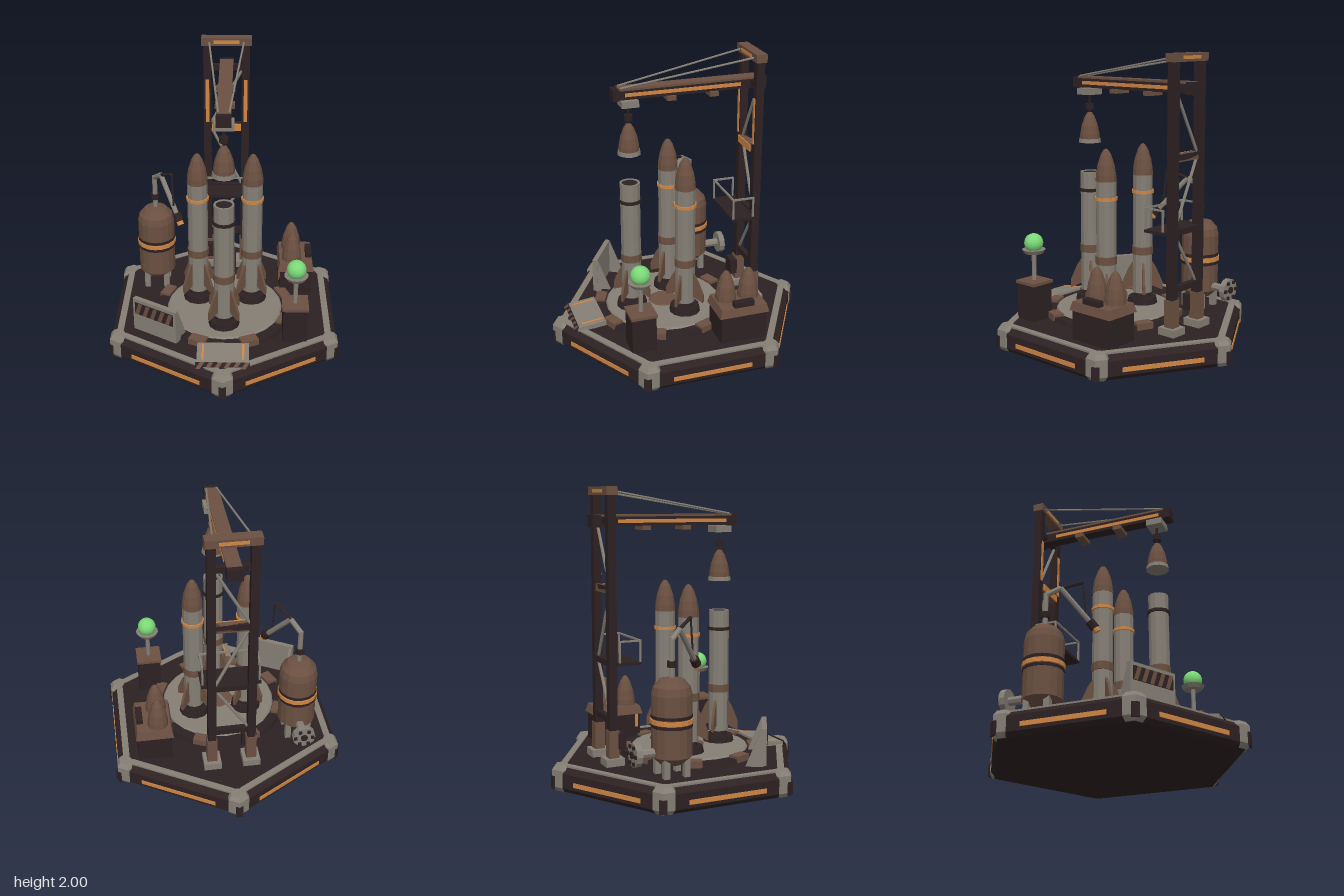
import * as THREE from 'three';

const mat = (name, color, extra = {}) => new THREE.MeshStandardMaterial({ name, color, ...extra });

export function createModel() {
  const root = new THREE.Group();
  root.name = 'rocketLaunchPad';
  const grey = mat('warmGrey', 0x857f75), dark = mat('darkSteel', 0x2d2122);
  const brown = mat('rustBrown', 0x6b5041), orange = mat('orangeTrim', 0xd08644);
  const green = mat('beaconGreen', 0x7cd878);
  for (const m of [grey, dark, brown, orange]) m.flatShading = true;

  const add = (name, geo, m, x = 0, y = 0, z = 0, parent = root) => {
    const mesh = new THREE.Mesh(geo, m);
    mesh.name = name;
    mesh.position.set(x, y, z);
    parent.add(mesh);
    return mesh;
  };
  const group = (name, x = 0, y = 0, z = 0, parent = root) => {
    const g = new THREE.Group();
    g.name = name;
    g.position.set(x, y, z);
    parent.add(g);
    return g;
  };
  const box = (name, w, h, d, m, x, y, z, p) => add(name, new THREE.BoxGeometry(w, h, d), m, x, y, z, p);
  // cylinder given by its bottom and top heights
  const cyl = (name, r0, r1, y0, y1, m, x, z, p, n = 12) =>
    add(name, new THREE.CylinderGeometry(r1, r0, y1 - y0, n), m, x, (y0 + y1) / 2, z, p);
  const strut = (name, a, b, r, m, p = root, n = 6) => {
    const va = new THREE.Vector3(...a), vb = new THREE.Vector3(...b), d = vb.clone().sub(va);
    const s = add(name, new THREE.CylinderGeometry(r, r, d.length(), n), m, 0, 0, 0, p);
    s.position.copy(va).add(vb).multiplyScalar(0.5);
    s.quaternion.setFromUnitVectors(new THREE.Vector3(0, 1, 0), d.normalize());
    return s;
  };
  const lathe = (pts, n = 12) => new THREE.LatheGeometry(pts.map(p => new THREE.Vector2(...p)), n);
  const nose = (name, r, h, x, y, z, p) =>
    add(name, lathe([[0, 0], [r, 0], [r * 0.97, h * 0.2], [r * 0.82, h * 0.5], [r * 0.52, h * 0.8], [r * 0.25, h * 0.95], [0, h]]), brown, x, y, z, p);
  // slanted warning stripes on a dark plate
  const hazard = (w, h, count, p) => {
    box('hazardPlate', w, h, 0.006, dark, 0, 0, 0, p);
    const step = w / count;
    for (let i = 0; i < count; i++) {
      const x = -w / 2 + i * step, l = step * 0.5;
      const s = new THREE.Shape([[x, -h / 2], [x + l, -h / 2], [x + step, h / 2], [x + step - l, h / 2]].map(q => new THREE.Vector2(...q)));
      add('hazardStripe', new THREE.ShapeGeometry(s), brown, 0, 0, 0.004, p);
    }
  };

  // Hexagonal base with light strips, rim and corner armour
  const base = group('base');
  cyl('baseFoot', 0.87, 0.9, 0, 0.03, dark, 0, 0, base, 6);
  cyl('baseBody', 0.9, 0.9, 0.03, 0.13, dark, 0, 0, base, 6);
  cyl('baseTop', 0.9, 0.85, 0.13, 0.17, dark, 0, 0, base, 6);
  const corner = new THREE.Shape([[0, 0.885], [0.05, 0.856], [0.05, 0.8], [-0.05, 0.8], [-0.05, 0.856]].map(p => new THREE.Vector2(...p)).reverse());
  const cornerGeo = new THREE.ExtrudeGeometry(corner, { depth: 0.115, bevelEnabled: true, bevelThickness: 0.03, bevelSize: 0.02, bevelSegments: 1 });
  cornerGeo.rotateX(Math.PI / 2).translate(0, 0.147, 0);
  for (let i = 0; i < 6; i++) {
    const side = group('baseSide', 0, 0, 0, base);
    side.rotation.y = Math.PI / 6 + i * Math.PI / 3;
    box('lightStrip', 0.55, 0.03, 0.008, orange, 0, 0.068, 0.781, side);
    box('rim', 0.76, 0.012, 0.045, grey, 0, 0.17, 0.72, side);
    const c = group('baseCorner', 0, 0, 0, base);
    c.rotation.y = i * Math.PI / 3;
    add('cornerArmour', cornerGeo, grey, 0, 0, 0, c);
    box('cornerSlot', 0.05, 0.09, 0.012, dark, 0, 0.06, 0.903, c);
  }

  // Round launch deck
  const deck = group('launchDeck', 0, 0, 0.1);
  cyl('deckRing', 0.49, 0.48, 0.17, 0.2, dark, 0, 0, deck, 24);
  cyl('deckDisc', 0.41, 0.4, 0.2, 0.212, grey, 0, 0, deck, 24);
  cyl('deckCentre', 0.11, 0.1, 0.212, 0.218, brown, 0, 0, deck, 8);
  for (let i = 0; i < 8; i++) {
    const a = group('deckClampPivot', 0, 0, 0, deck);
    a.rotation.y = Math.PI / 8 + i * Math.PI / 4;
    box('deckClamp', 0.12, 0.045, 0.075, brown, 0, 0.195, 0.45, a);
  }

  // Rockets: two complete, one waiting for its nose
  const fin = new THREE.Shape([[0.05, 0.34], [0.143, 0.3], [0.143, 0.36], [0.1, 0.46], [0.05, 0.54]].map(p => new THREE.Vector2(...p)));
  const finGeo = new THREE.ExtrudeGeometry(fin, { depth: 0.018, bevelEnabled: false }).translate(0, 0, -0.009);
  for (const [x, z, done] of [[-0.19, 0, true], [0.19, 0, true], [0, 0.33, false]]) {
    const r = group('rocket', x, 0, z);
    cyl('rocketStand', 0.11, 0.1, 0.21, 0.255, dark, 0, 0, r);
    cyl('rocketNozzle', 0.065, 0.05, 0.25, 0.3, dark, 0, 0, r);
    cyl('rocketBody', 0.07, 0.07, 0.29, 1.14, grey, 0, 0, r);
    cyl('lowerBand', 0.075, 0.075, 0.57, 0.625, brown, 0, 0, r);
    cyl('upperBand', 0.079, 0.079, 1.01, 1.032, done ? orange : dark, 0, 0, r);
    for (let i = 0; i < 4; i++) add('rocketFin', finGeo, brown, 0, 0, 0, r).rotation.y = Math.PI / 4 + i * Math.PI / 2;
    if (done) nose('rocketNose', 0.072, 0.22, 0, 1.14, 0, r);
    else {
      add('rocketRim', lathe([[0.07, 1.135], [0.07, 1.15], [0.056, 1.15], [0.056, 1.142]]), grey, 0, 0, 0, r);
      cyl('rocketOpening', 0.056, 0.056, 1.13, 1.144, dark, 0, 0, r);
    }
  }

  // Gantry tower
  const tower = group('tower', 0, 0, -0.53);
  for (const s of [-1, 1]) {
    const x = s * 0.135;
    box('towerFoot', 0.12, 0.05, 0.13, grey, x, 0.195, 0, tower);
    box('towerBoot', 0.07, 0.19, 0.07, brown, x, 0.31, 0, tower);
    box('towerPost', 0.055, 1.6, 0.055, dark, x, 1.18, 0, tower);
    box('postLight', 0.026, 0.32, 0.008, orange, x, 1.535, 0.029, tower);
    strut('boomCable', [s * 0.12, 1.97, 0.03], [s * 0.035, 1.82, 0.92], 0.007, grey, tower);
    box('railPost', 0.012, 0.15, 0.012, grey, s * 0.19, 0.93, 0.18, tower);
    box('sideRail', 0.012, 0.012, 0.15, grey, s * 0.19, 1, 0.105, tower);
    box('sideRailPost', 0.012, 0.15, 0.012, grey, s * 0.19, 0.93, 0.035, tower);
  }
  box('towerHead', 0.35, 0.055, 0.075, brown, 0, 1.972, 0, tower);
  for (const s of [-1, 1]) box('headLight', 0.18, 0.022, 0.006, orange, 0, 1.972, s * 0.039, tower);
  for (const y of [0.47, 0.85, 1.34, 1.78]) box('towerCrossbeam', 0.24, 0.04, 0.04, dark, 0, y, 0, tower);
  box('crossbeamPlate', 0.21, 0.05, 0.008, orange, 0, 1.335, 0.036, tower);
  box('crossbeamCover', 0.21, 0.05, 0.05, brown, 0, 1.335, 0.005, tower);
  [[0.47, 0.85, 1], [0.85, 1.34, -1], [1.34, 1.78, 1]].forEach(([a, b, s]) =>
    strut('towerBrace', [-s * 0.11, a + 0.02, 0], [s * 0.11, b - 0.02, 0], 0.011, grey, tower));
  box('servicePlatform', 0.4, 0.02, 0.17, dark, 0, 0.85, 0.1, tower);
  box('frontRail', 0.392, 0.012, 0.012, grey, 0, 1, 0.18, tower);

  // Crane boom with hanging nose cone
  const crane = group('crane');
  box('boom', 0.08, 0.065, 1, dark, 0, 1.775, -0.08, crane);
  box('boomTop', 0.094, 0.014, 0.98, brown, 0, 1.812, -0.09, crane);
  box('boomTip', 0.095, 0.075, 0.045, dark, 0, 1.777, 0.42, crane);
  box('boomCounterweight', 0.1, 0.08, 0.06, dark, 0, 1.777, -0.59, crane);
  for (const s of [-1, 1]) box('boomLight', 0.006, 0.024, 0.8, orange, s * 0.042, 1.775, -0.04, crane);
  for (const z of [0.05, -0.245]) box('boomLug', 0.13, 0.03, 0.06, brown, 0, 1.73, z, crane);
  box('trolley', 0.13, 0.045, 0.115, grey, 0, 1.715, 0.33, crane);
  strut('hoistCable', [0, 1.56, 0.33], [0, 1.7, 0.33], 0.009, dark, crane);
  cyl('hoistBlock', 0.03, 0.03, 1.59, 1.63, dark, 0, 0.33, crane, 8);
  nose('hangingNose', 0.072, 0.2, 0, 1.375, 0.33, crane);
  cyl('noseCollar', 0.08, 0.076, 1.357, 1.385, grey, 0, 0.33, crane);

  // Fuel tank with jointed fuelling arm
  const tx = -0.51, tz = -0.27, tank = group('fuelTank');
  add('tankBody', lathe([[0, 0.24], [0.08, 0.25], [0.132, 0.3], [0.132, 0.7], [0.12, 0.75], [0.08, 0.795], [0, 0.81]], 16), brown, tx, 0, tz, tank);
  for (const [y0, y1, m, r] of [[0.49, 0.51, dark, 0.136], [0.515, 0.545, orange, 0.14], [0.55, 0.57, dark, 0.136]])
    cyl('tankBand', r, r, y0, y1, m, tx, tz, tank, 16);
  for (let i = 0; i < 4; i++) {
    const a = Math.PI / 4 + i * Math.PI / 2;
    box('tankLeg', 0.04, 0.18, 0.04, grey, tx + Math.sin(a) * 0.1, 0.25, tz + Math.cos(a) * 0.1, tank);
  }
  const elbow = [-0.455, 1.1, -0.19], tip = [-0.325, 0.85, -0.01];
  strut('fuelPipe', [tx, 0.79, tz], [tx, 1.05, tz], 0.018, grey, tank, 8);
  cyl('pipeCollar', 0.032, 0.032, 0.87, 0.91, dark, tx, tz, tank, 8);
  strut('pipeElbow', [tx, 1.04, tz], elbow, 0.018, grey, tank, 8);
  strut('fuelArm', elbow, tip, 0.018, grey, tank, 8);
  strut('armCoupling', [-0.34, 0.88, -0.03], [-0.318, 0.835, 0], 0.032, dark, tank, 8);
  strut('armNozzle', [-0.318, 0.835, 0], [-0.308, 0.812, 0.012], 0.024, orange, tank, 8);
  strut('supportArm', elbow, [-0.37, 1.16, -0.07], 0.012, dark, tank);
  strut('supportLine', [-0.37, 1.16, -0.07], [-0.36, 0.93, -0.05], 0.007, dark, tank);
  strut('valvePipe', [tx, 0.33, -0.36], [tx, 0.33, -0.5], 0.03, grey, tank, 8);
  strut('valveWheel', [tx, 0.33, -0.5], [tx, 0.33, -0.54], 0.08, grey, tank, 12);
  strut('valveHub', [tx, 0.33, -0.54], [tx, 0.33, -0.55], 0.025, dark, tank, 8);
  for (let i = 0; i < 6; i++) {
    const a = i * Math.PI / 3;
    box('valveBolt', 0.022, 0.022, 0.014, dark, tx + Math.cos(a) * 0.06, 0.33 + Math.sin(a) * 0.06, -0.544, tank);
  }
  box('tankGauge', 0.1, 0.11, 0.05, dark, -0.13, 0.33, -0.475, tank);

  // Crate holding spare noses
  const crate = group('noseCrate', 0.515, 0, -0.27);
  box('crateBody', 0.235, 0.22, 0.32, dark, 0, 0.28, 0, crate);
  const lid = add('crateLid', new THREE.CylinderGeometry(0.64, Math.SQRT1_2, 1, 4).rotateY(Math.PI / 4), brown, 0, 0.395, 0, crate);
  lid.scale.set(0.26, 0.06, 0.35);
  for (const z of [-0.08, 0.08]) nose('spareNose', 0.072, 0.22, -0.03, 0.42, z, crate);
  box('cratePanel', 0.045, 0.045, 0.14, dark, 0.095, 0.44, 0, crate);
  box('crateLight', 0.006, 0.1, 0.02, orange, -0.121, 0.32, 0.13, crate);

  // Beacon on a cabinet
  const beacon = group('beacon', 0.485, 0, 0.405);
  box('cabinet', 0.165, 0.25, 0.165, dark, 0, 0.295, 0, beacon);
  box('cabinetLid', 0.18, 0.02, 0.18, brown, 0, 0.43, 0, beacon);
  cyl('beaconPost', 0.016, 0.016, 0.43, 0.64, grey, 0, 0, beacon, 8);
  cyl('beaconTray', 0.065, 0.082, 0.63, 0.658, grey, 0, 0, beacon, 14);
  add('beaconLamp', new THREE.SphereGeometry(0.066, 20, 14), green, 0, 0.702, 0, beacon);

  // Blast barrier with warning stripes
  const barrier = group('barrier', -0.465, 0, 0.435);
  barrier.rotation.y = -Math.PI / 6;
  box('barrierPanel', 0.35, 0.25, 0.035, grey, 0, 0.305, 0, barrier);
  hazard(0.31, 0.09, 5, group('barrierStripes', 0, 0.36, 0.021, barrier));
  const braceShape = new THREE.Shape([[0, 0.17], [0.12, 0.17], [0.02, 0.42], [0, 0.42]].map(p => new THREE.Vector2(...p)));
  const braceGeo = new THREE.ExtrudeGeometry(braceShape, { depth: 0.02, bevelEnabled: false }).rotateY(Math.PI / 2);
  for (const x of [-0.17, 0.15]) add('barrierBrace', braceGeo, grey, x, 0, 0, barrier);

  // Boarding ramp
  const ramp = group('ramp', 0, 0.186, 0.665);
  ramp.rotation.x = 0.12;
  box('rampPlate', 0.35, 0.035, 0.2, grey, 0, 0, 0, ramp);
  for (const s of [-1, 1]) box('rampLight', 0.014, 0.008, 0.15, orange, s * 0.135, 0.018, -0.01, ramp);
  const lip = group('rampLip', 0, 0.183, 0.775);
  lip.rotation.x = -0.6;
  hazard(0.36, 0.045, 6, lip);

  return root;
}
